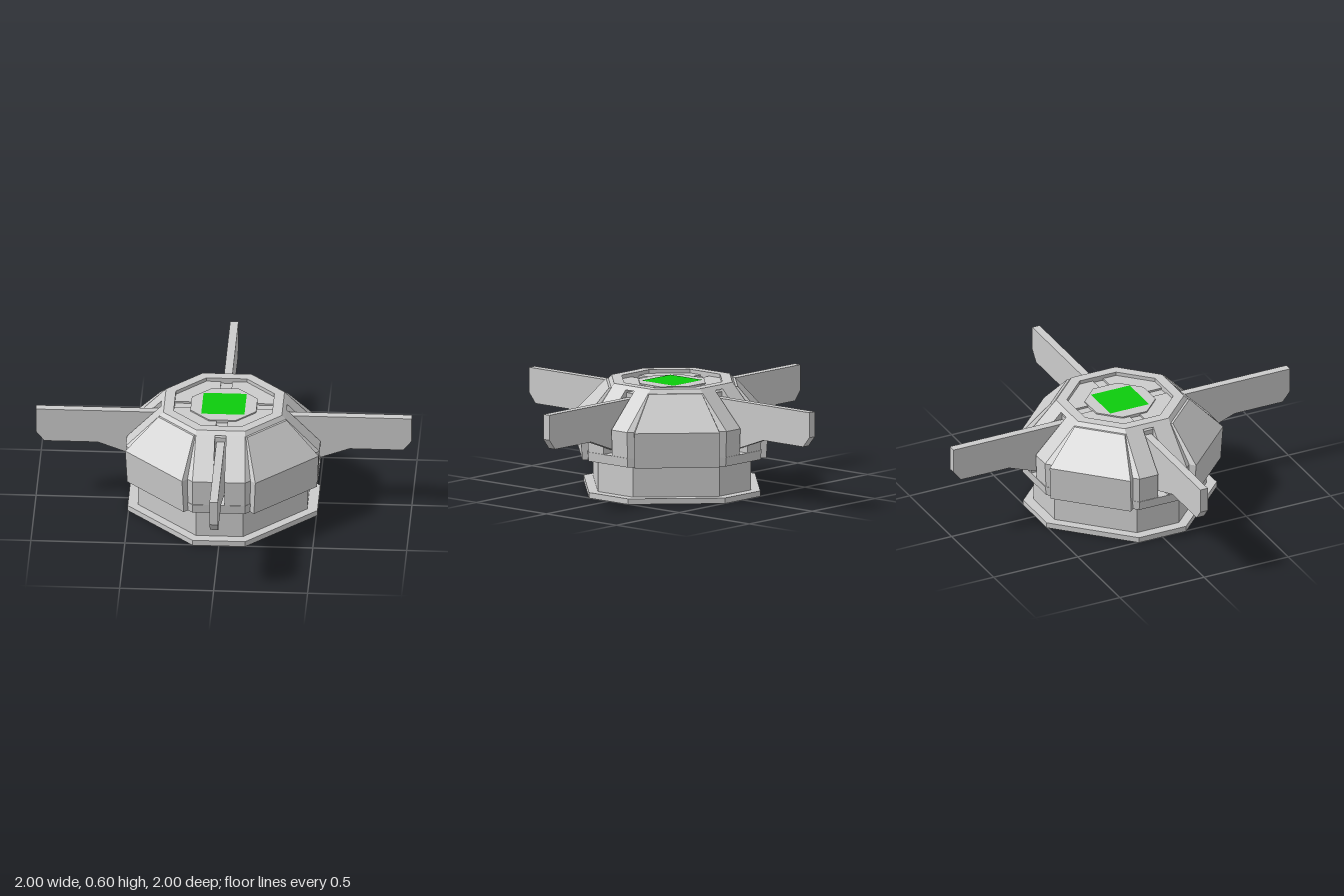
import * as THREE from 'three';
import { ConvexGeometry } from 'three/addons/geometries/ConvexGeometry.js';

const grey = new THREE.MeshStandardMaterial({ color: 0xcccccc, flatShading: true });
const green = new THREE.MeshStandardMaterial({ color: 0x0ccc0c });

// Corners of an octagon: half width h, half length c of the sides facing the axes
const octagon = (h, c) => [
  [h, c], [c, h], [-c, h], [-h, c], [-h, -c], [-c, -h], [c, -h], [h, -c],
];

// Skins a stack of [h, c, y] octagons, closing the first and last
function octagonLoft(rings) {
  const pos = [];
  const loops = rings.map(([h, c, y]) => octagon(h, c).map(([x, z]) => [x, y, z]));
  for (let r = 0; r < loops.length - 1; r++) {
    for (let i = 0; i < 8; i++) {
      const j = (i + 1) % 8;
      const a = loops[r][i], b = loops[r][j], d = loops[r + 1][i], e = loops[r + 1][j];
      pos.push(...a, ...d, ...b, ...b, ...d, ...e);
    }
  }
  const first = loops[0], last = loops[loops.length - 1];
  for (let i = 1; i < 7; i++) {
    pos.push(...first[0], ...first[i], ...first[i + 1]);
    pos.push(...last[0], ...last[i + 1], ...last[i]);
  }
  const geo = new THREE.BufferGeometry();
  geo.setAttribute('position', new THREE.Float32BufferAttribute(pos, 3));
  geo.computeVertexNormals();
  return geo;
}

// Convex solid from [y, [[x, z], ...]] levels
const hull = (levels) => new ConvexGeometry(
  levels.flatMap(([y, pts]) => pts.map(([x, z]) => new THREE.Vector3(x, y, z))));

export function createModel() {
  const model = new THREE.Group();
  const add = (name, geo, mat = grey, parent = model) => {
    const mesh = new THREE.Mesh(geo, mat);
    mesh.name = name;
    parent.add(mesh);
    return mesh;
  };

  // Base: recessed underside, foot flange and pedestal
  add('base', octagonLoft([
    [0.34, 0.075, 0.06], [0.4, 0.1, 0], [0.505, 0.14, 0],
    [0.505, 0.14, 0.03], [0.45, 0.125, 0.03], [0.45, 0.125, 0.22],
  ]));

  // Core behind the slots, and the sill under them
  add('core', octagonLoft([[0.33, 0.13, 0.2], [0.33, 0.13, 0.56]]));
  add('slotSill', octagonLoft([[0.508, 0.14, 0.2], [0.513, 0.14, 0.25]]));

  // Top cap: bevelled rim, sunken floor, raised centre
  add('topCap', octagonLoft([
    [0.335, 0.131, 0.575], [0.315, 0.13, 0.595], [0.262, 0.108, 0.595], [0.262, 0.108, 0.565],
    [0.175, 0.072, 0.565], [0.175, 0.072, 0.582],
  ]));

  // Coloured squares on the top and in the underside recess
  const topSquare = add('topSquare', new THREE.PlaneGeometry(0.23, 0.23), green);
  topSquare.rotation.x = -Math.PI / 2;
  topSquare.position.y = 0.585;
  const bottomSquare = add('bottomSquare', new THREE.PlaneGeometry(0.39, 0.39), green);
  bottomSquare.rotation.set(Math.PI / 2, 0, Math.PI / 4);
  bottomSquare.position.y = 0.057;

  // Shell quarter, leaving a slot between neighbours
  const quarter = (h, c) => [[0.03, h], [c, h], [h, c], [h, 0.03], [0.03, 0.03]];
  const shellGeo = hull([
    [0.2, quarter(0.508, 0.14)], [0.39, quarter(0.515, 0.14)], [0.575, quarter(0.335, 0.131)],
  ]);

  // Armour panel standing proud of the shell's diagonal face
  const plate = (a, b, t) => [[a, b], [b, a], [a - t, b - t], [b - t, a - t]];
  const panelGeo = hull([
    [0.2, plate(0.187, 0.505, 0.045)], [0.39, plate(0.195, 0.515, 0.045)],
    [0.573, plate(0.143, 0.342, 0.03)],
  ]);

  // Fin profile in x and y
  const finShape = new THREE.Shape([
    [0.31, 0.535], [0.31, 0.25], [0.41, 0.25], [0.52, 0.29], [0.67, 0.345],
    [0.955, 0.345], [1, 0.4], [1, 0.535],
  ].map(([x, y]) => new THREE.Vector2(x, y)));
  const finGeo = new THREE.ExtrudeGeometry(finShape, { depth: 0.044, bevelEnabled: false });
  finGeo.translate(0, 0, -0.022);

  for (let i = 0; i < 4; i++) {
    const side = new THREE.Group();
    side.name = 'side' + (i + 1);
    side.rotation.y = i * Math.PI / 2;
    add('shellQuarter', shellGeo, grey, side);
    add('armourPanel', panelGeo, grey, side);
    add('fin', finGeo, grey, side);
    model.add(side);
  }
  return model;
}
